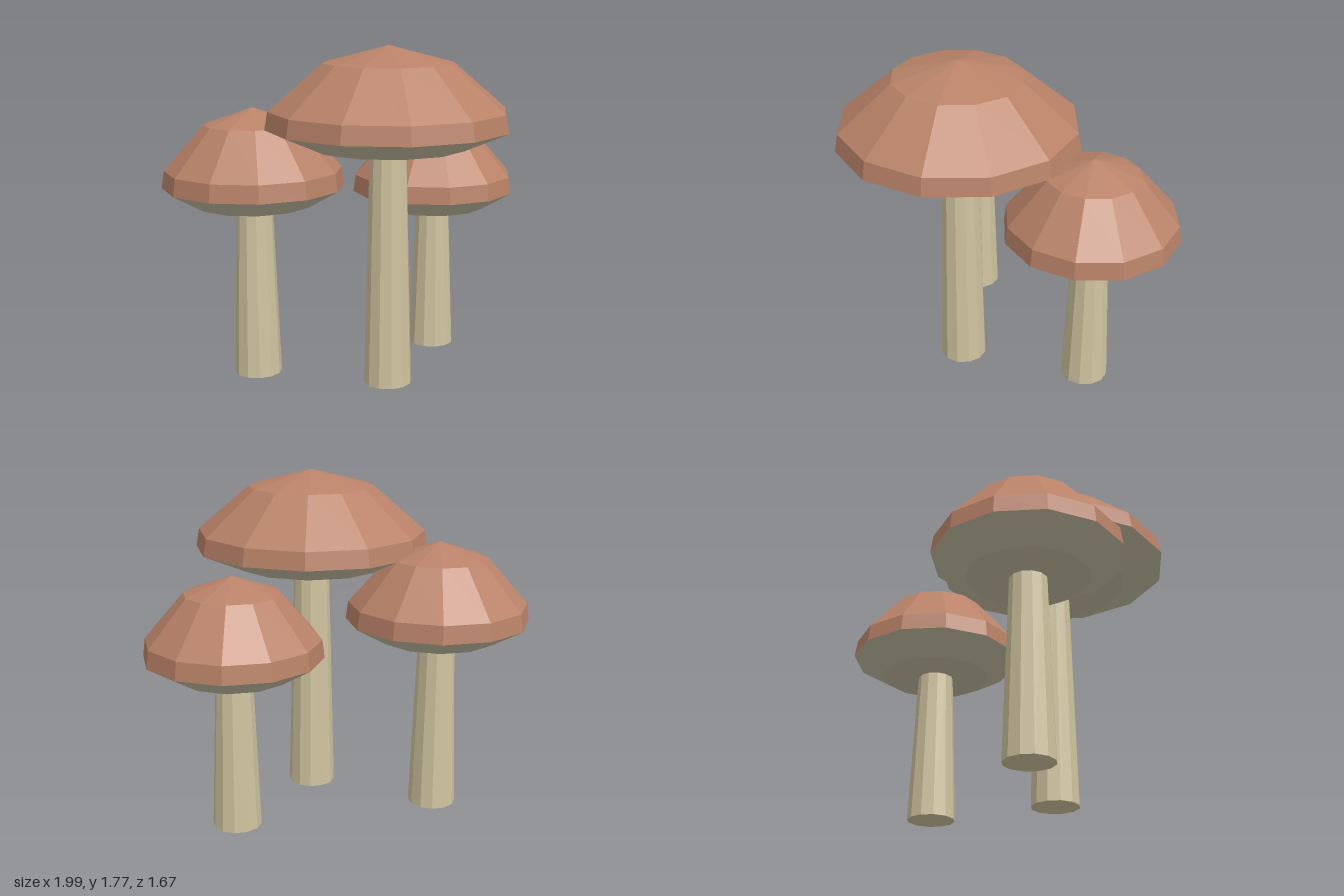
import * as THREE from 'three';

const capBrown = new THREE.MeshStandardMaterial({ color: 0xb98268 });
const gillGrey = new THREE.MeshStandardMaterial({ color: 0xc2bda2 });
const stemTan = new THREE.MeshStandardMaterial({ color: 0xd0c4a0 });
capBrown.name = 'capBrown';
gillGrey.name = 'gillGrey';
stemTan.name = 'stemTan';

const SIDES = 12;

// Faceted mesh: separate triangles so that every face keeps its own normal
function faceted(geometry, material, name) {
  const flat = geometry.toNonIndexed();
  flat.computeVertexNormals();
  const mesh = new THREE.Mesh(flat, material);
  mesh.name = name;
  return mesh;
}

// Twelve-sided turned shape from [radius, height] pairs, bottom to top
function turned(profile, material, name) {
  const points = profile.map(([r, y]) => new THREE.Vector2(r, y));
  return faceted(new THREE.LatheGeometry(points, SIDES), material, name);
}

// One mushroom; rim is the height of the widest ring of the cap
function mushroom({ name, x, z, radius, rim }) {
  const group = new THREE.Group();
  group.name = name;
  group.position.set(x, 0, z);

  // Tapered stem reaching the middle of the underside
  const height = rim - 0.1;
  const stem = faceted(
    new THREE.CylinderGeometry(0.095, 0.127, height, SIDES), stemTan, 'stem');
  stem.position.y = height / 2;

  // Shallow underside, then the short rim, slope and low peak of the cap
  const underside = turned(
    [[0, rim - 0.107], [radius * 0.645, rim - 0.097], [radius, rim]],
    gillGrey, 'underside');
  const cap = turned(
    [[radius, rim], [radius * 0.973, rim + 0.092],
      [radius * 0.535, rim + 0.327], [0, rim + 0.415]],
    capBrown, 'cap');

  group.add(stem, underside, cap);
  return group;
}

export function createModel() {
  const model = new THREE.Group();
  model.name = 'mushroomCluster';
  model.add(
    mushroom({ name: 'tallMushroom', x: -0.07, z: 0.205, radius: 0.626, rim: 1.36 }),
    mushroom({ name: 'rightMushroom', x: -0.52, z: -0.357, radius: 0.478, rim: 1.03 }),
    mushroom({ name: 'leftMushroom', x: 0.54, z: -0.13, radius: 0.457, rim: 0.915 })
  );
  return model;
}
